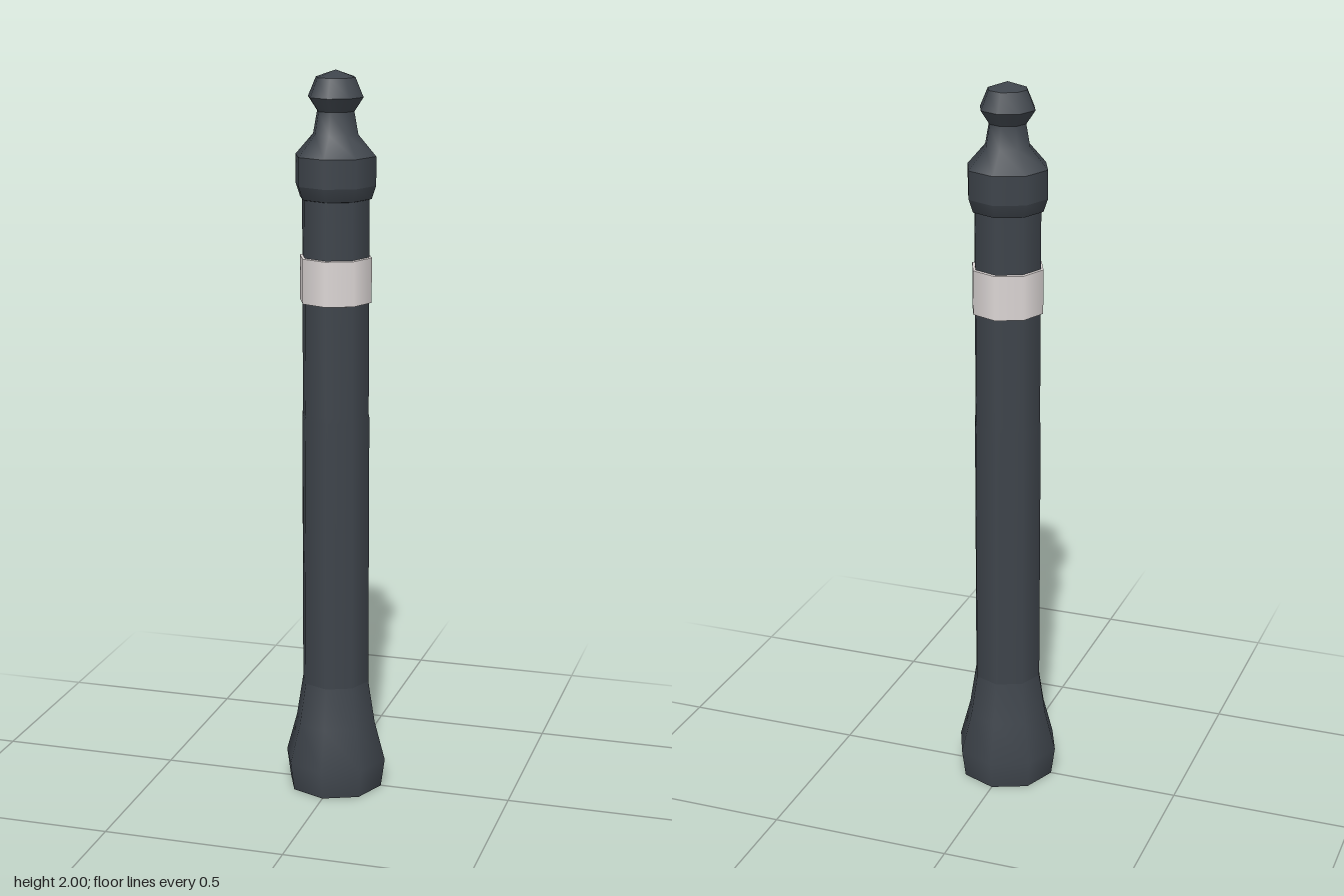
import * as THREE from 'three';

const SIDES = 8;

export function createModel() {
  const model = new THREE.Group();
  model.name = 'bollard';

  const iron = new THREE.MeshStandardMaterial({ color: 0x3e444b });
  iron.name = 'dark iron';
  const white = new THREE.MeshStandardMaterial({ color: 0xdcd6d5 });
  white.name = 'off white';

  // Eight-sided turned part from [radius, height] pairs, listed bottom to top
  function turned(name, material, profile) {
    const points = profile.map(([r, y]) => new THREE.Vector2(r, y));
    const mesh = new THREE.Mesh(new THREE.LatheGeometry(points, SIDES), material);
    mesh.name = name;
    model.add(mesh);
  }

  // Flared foot, closed underneath
  turned('footUnderside', iron, [[0, 0], [0.133, 0]]);
  turned('foot', iron, [[0.133, 0], [0.144, 0.08], [0.114, 0.19], [0.095, 0.31]]);

  // Shaft with a very slight step in width
  turned('shaft', iron, [[0.095, 0.31], [0.095, 1.07], [0.093, 1.08], [0.093, 1.67]]);

  // Reflective band: outer face and narrow rims
  turned('bandLowerRim', white, [[0.09, 1.385], [0.1, 1.387]]);
  turned('band', white, [[0.1, 1.387], [0.1, 1.508]]);
  turned('bandUpperRim', white, [[0.1, 1.508], [0.09, 1.51]]);

  // Collar, separated at its sharp edges
  turned('collarUnderside', iron, [[0.09, 1.662], [0.099, 1.665], [0.111, 1.7]]);
  turned('collar', iron, [[0.111, 1.7], [0.111, 1.777]]);
  turned('collarShoulder', iron, [[0.111, 1.777], [0.062, 1.833], [0.051, 1.893]]);

  // Finial knob
  turned('knobUnderside', iron, [[0.051, 1.893], [0.076, 1.93]]);
  turned('knob', iron, [[0.076, 1.93], [0.054, 1.981]]);
  turned('knobTop', iron, [[0.054, 1.981], [0, 2]]);

  return model;
}
